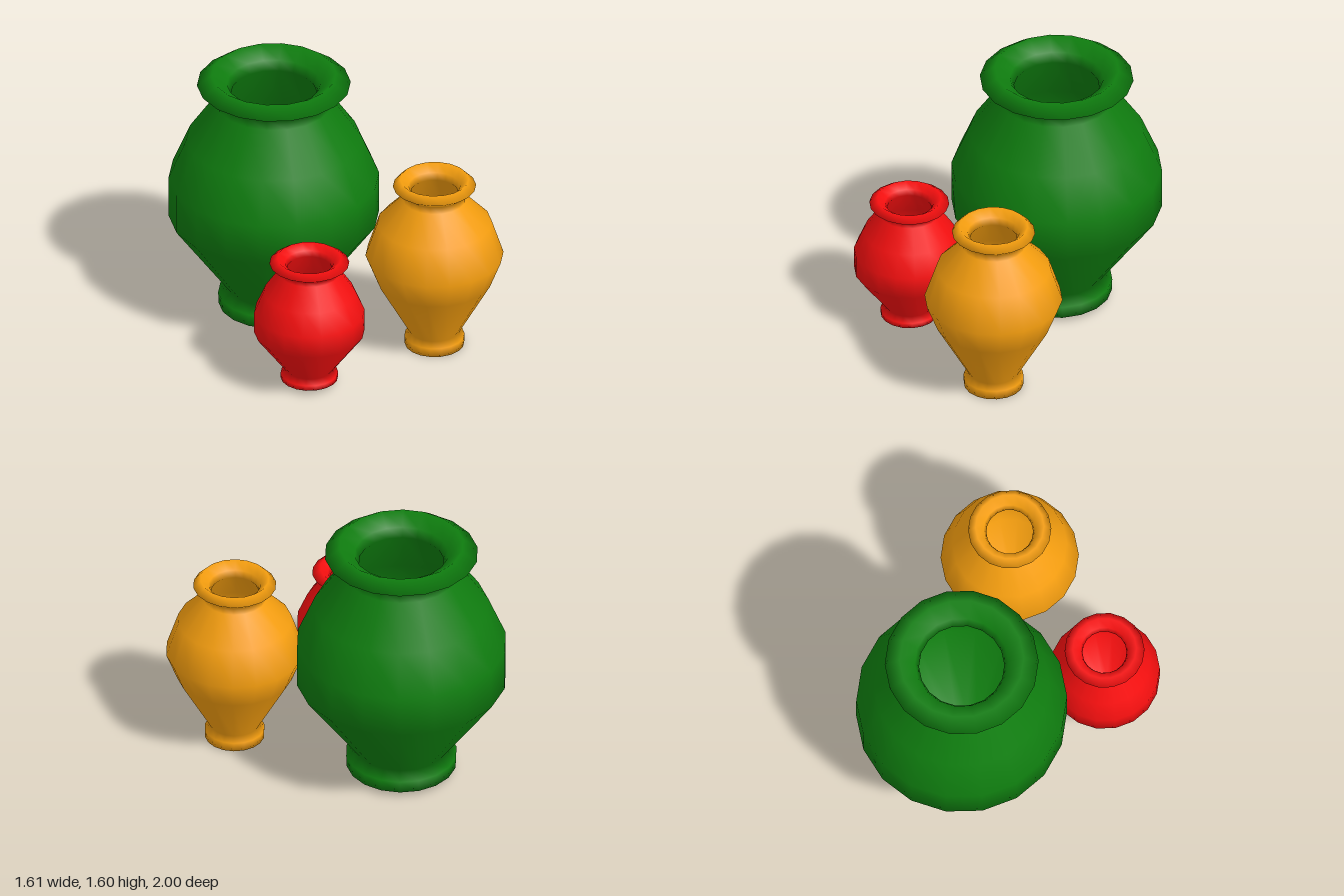
import * as THREE from 'three';

const SIDES = 18;

// One closed vessel: outer wall from foot to rim, then the lip and the hollow inside.
// outer: [radius, height] from the foot up; the last four are neck base, neck top, rim edge, rim crest.
function makePot({ name, color, x, z, outer, mouth, throat }) {
  const n = outer.length;
  const [neckR, neckY] = outer[n - 3];
  const rimY = outer[n - 2][1];
  const wall = neckR - throat;
  const floorY = outer[2][1] + wall * 0.3;

  // Inner wall follows the belly, offset by the wall thickness
  const inner = outer.slice(3, n - 4).reverse().map(([r, y]) => [r - wall, y]);
  const profile = [
    [0, outer[0][1]],
    ...outer,
    [mouth, rimY],
    [throat, neckY],
    ...inner,
    [outer[2][0] * 0.7, floorY],
    [0, floorY],
  ].map(([r, y]) => new THREE.Vector2(r, y));

  const geometry = new THREE.LatheGeometry(profile, SIDES, Math.PI / 2);
  const mesh = new THREE.Mesh(geometry, new THREE.MeshStandardMaterial({ color }));
  mesh.name = name;
  mesh.position.set(x, 0, z);
  return mesh;
}

const POTS = [
  {
    name: 'largeGreenPot', color: 0x0f7d0f, x: -0.02, z: -0.38, mouth: 0.28, throat: 0.255,
    outer: [
      [0.33, 0.035], [0.333, 0.11], [0.275, 0.153], // foot
      [0.63, 0.646], [0.63, 0.904], [0.523, 1.16], // belly
      [0.351, 1.412], [0.351, 1.477], // neck
      [0.46, 1.535], [0.372, 1.6], // rim
    ],
  },
  {
    name: 'mediumOrangePot', color: 0xf59e0f, x: 0.387, z: 0.59, mouth: 0.155, throat: 0.14,
    outer: [
      [0.178, 0], [0.18, 0.057], [0.15, 0.09],
      [0.346, 0.44], [0.413, 0.612], [0.342, 0.828],
      [0.19, 0.99], [0.19, 1.037],
      [0.249, 1.08], [0.205, 1.125],
    ],
  },
  {
    name: 'smallRedPot', color: 0xf50f0f, x: -0.475, z: 0.418, mouth: 0.145, throat: 0.132,
    outer: [
      [0.172, 0.03], [0.172, 0.062], [0.142, 0.092],
      [0.33, 0.346], [0.33, 0.483], [0.273, 0.617],
      [0.183, 0.75], [0.183, 0.78],
      [0.239, 0.814], [0.191, 0.848],
    ],
  },
];

export function createModel() {
  const group = new THREE.Group();
  group.name = 'potGroup';
  for (const spec of POTS) group.add(makePot(spec));
  return group;
}
